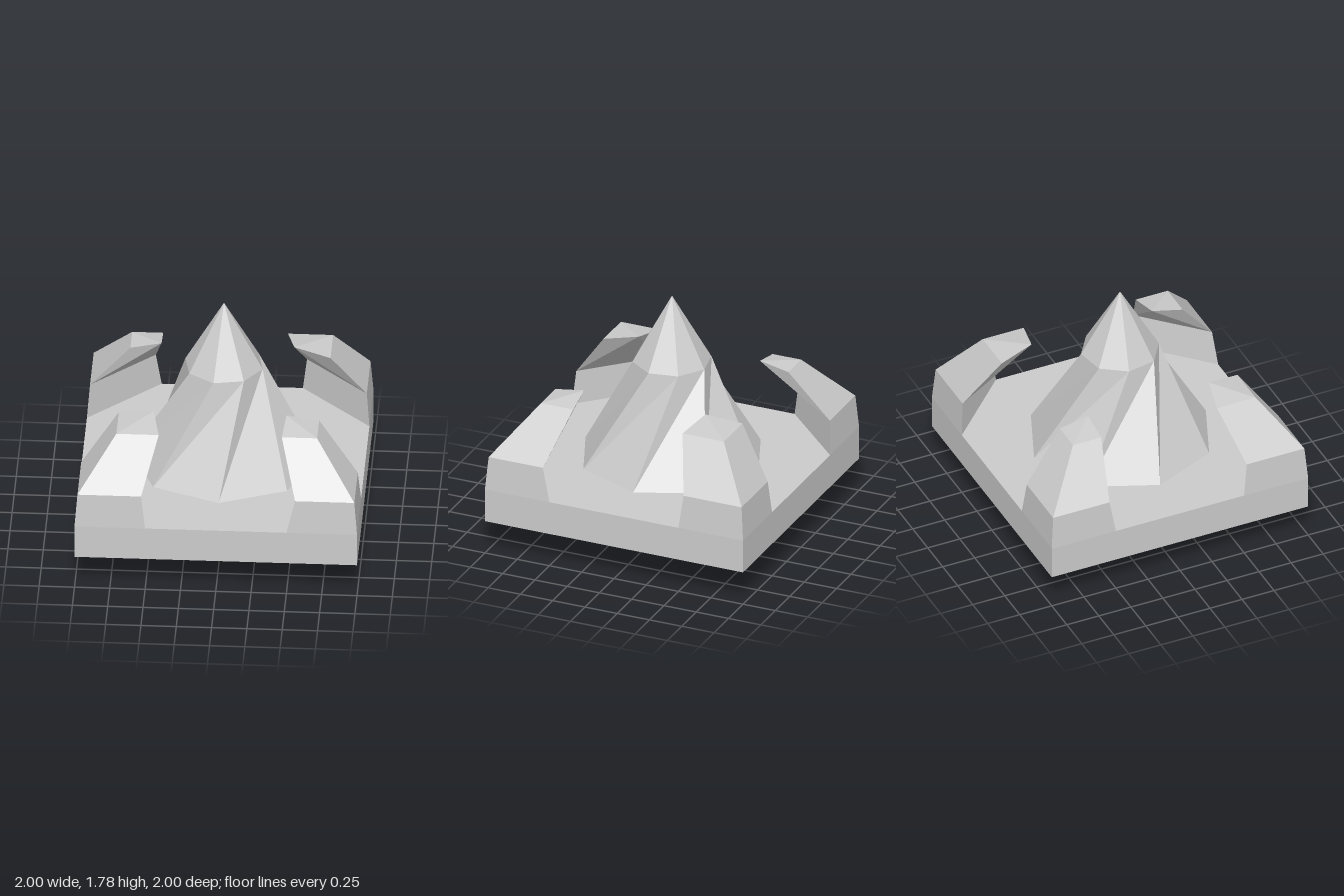
import * as THREE from 'three';

const material = new THREE.MeshStandardMaterial({ color: 0xcccccc, flatShading: true });

// Flat-shaded mesh from polygons, each given as a list of corner points
function facets(name, polygons, flip = false) {
  const positions = [];
  for (const p of polygons) {
    for (let i = 1; i < p.length - 1; i++) {
      const tri = flip ? [p[0], p[i + 1], p[i]] : [p[0], p[i], p[i + 1]];
      tri.forEach((v) => positions.push(...v));
    }
  }
  const geometry = new THREE.BufferGeometry();
  geometry.setAttribute('position', new THREE.Float32BufferAttribute(positions, 3));
  geometry.computeVertexNormals();
  const mesh = new THREE.Mesh(geometry, material);
  mesh.name = name;
  return mesh;
}

// Prism or frustum with the given half width (4 sides) or radius
function frustum(name, top, bottom, y0, y1, sides, turn = 0) {
  const geometry = new THREE.CylinderGeometry(top, bottom, y1 - y0, sides);
  geometry.rotateY(turn);
  geometry.translate(0, (y0 + y1) / 2, 0);
  const mesh = new THREE.Mesh(geometry, material);
  mesh.name = name;
  return mesh;
}

// Corner claw: triangular foot, bent inward to a pointed tip
function claw(name, sx, sz, waist, outer, inner) {
  const at = (x, y, z) => [x * sx, y, z * sz];
  const level = (y, c, i) => [at(c, y, c), at(i, y, c), at(c, y, i)];
  const [k0, a0, b0] = level(0.5, 1, 0.5);
  const [k1, a1, b1] = level(0.75, 0.98, waist);
  const [k2, a2, b2] = level(1.105, outer, inner);
  const tip = at(0.47, 1.15, 0.47);
  return facets(name, [
    [k0, b0, b1, k1], [a0, k0, k1, a1], // lower outer sides
    [k1, b1, b2, k2], [a1, k1, k2, a2], // upper outer sides
    [b0, a0, a1, b1], // lower inner side
    [b1, a1, tip], [a1, a2, tip], [b1, tip, b2], // overhang
    [k2, b2, tip], [k2, tip, a2], // top
  ], sx * sz < 0);
}

// Twisted eight-sided spire with a steeper cap
function spire() {
  const ring = (radius, y, offset) => Array.from({ length: 8 }, (_, i) => {
    const angle = (i * Math.PI) / 4 + offset;
    return [radius * Math.cos(angle), y, radius * Math.sin(angle)];
  });
  const low = ring(0.67, 0.53, 0);
  const high = ring(0.283, 1.28, THREE.MathUtils.degToRad(-33));
  const faces = [];
  for (let i = 0; i < 8; i++) {
    const j = (i + 1) % 8;
    faces.push([low[j], low[i], high[i], high[j]]);
    faces.push([high[j], high[i], [0, 1.78, 0]]);
    faces.push([low[i], low[j], [0, 0.53, 0]]);
  }
  return facets('spire', faces);
}

export function createModel() {
  const model = new THREE.Group();
  const r = Math.SQRT2;

  // Square platform with a tapered underside
  model.add(frustum('underside', r, r * 0.25, 0, 0.25, 4, Math.PI / 4));
  model.add(frustum('platform', r, r, 0.25, 0.5, 4, Math.PI / 4));

  // Low plinth under the spire
  model.add(frustum('plinth', 0.34, 0.34, 0.5, 0.52, 8));
  model.add(spire());

  // Claws, each bent a little differently
  model.add(claw('frontLeftClaw', 1, 1, 0.56, 0.7, 0.45));
  model.add(claw('frontRightClaw', -1, 1, 0.53, 0.72, 0.42));
  model.add(claw('backLeftClaw', 1, -1, 0.53, 0.73, 0.41));
  model.add(claw('backRightClaw', -1, -1, 0.54, 0.69, 0.47));
  return model;
}
